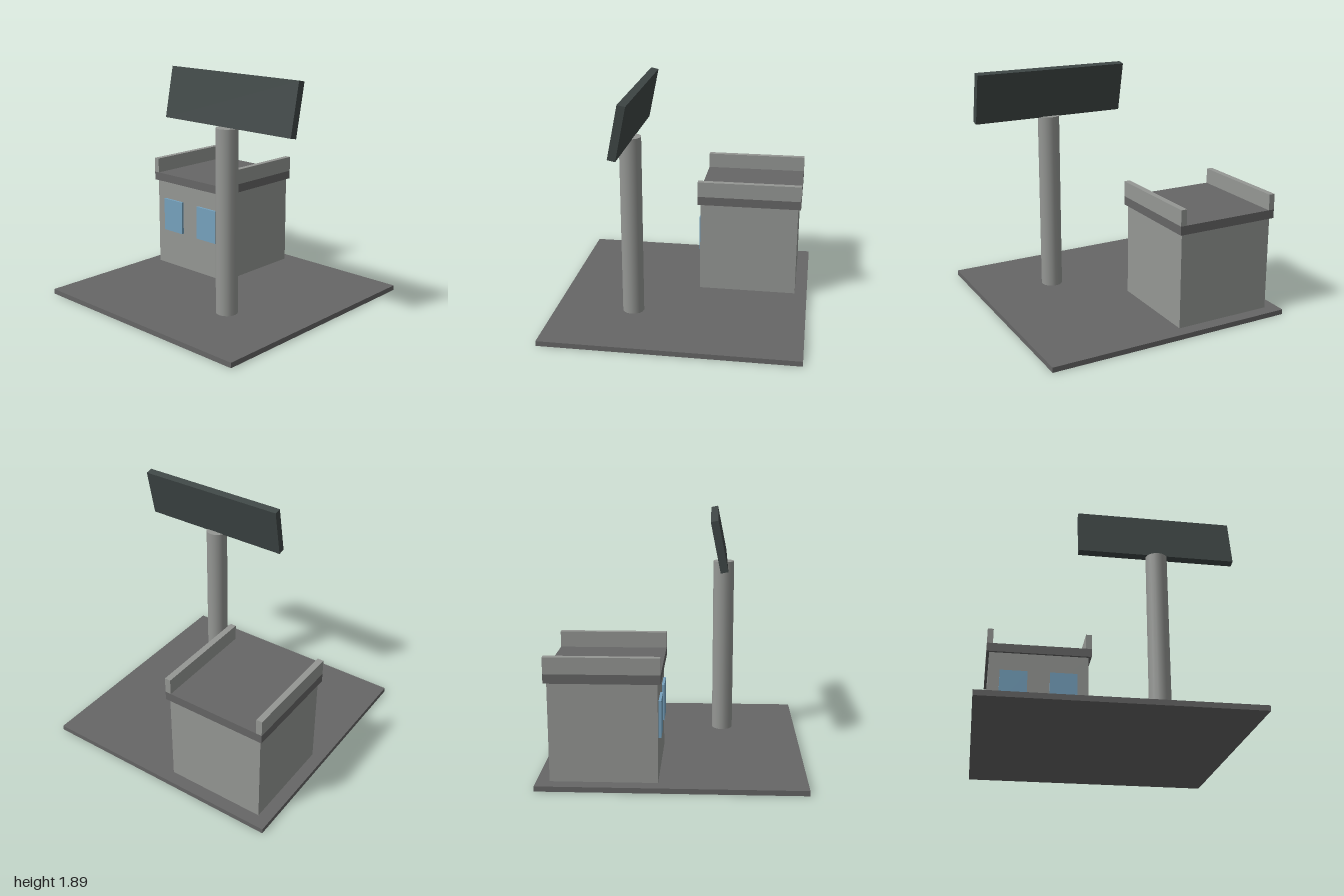
import * as THREE from 'three';

export function createModel() {
  const group = new THREE.Group();
  const material = (name, color) => {
    const m = new THREE.MeshStandardMaterial({ color });
    m.name = name;
    return m;
  };
  const asphalt = material('dark grey', 0x666666);
  const concrete = material('light grey', 0x959794);
  const glass = material('window blue', 0x76a2be);
  const panel = material('sign slate', 0x3f4746);

  const add = (name, geometry, mat, x, y, z) => {
    const mesh = new THREE.Mesh(geometry, mat);
    mesh.name = name;
    mesh.position.set(x, y, z);
    group.add(mesh);
    return mesh;
  };
  const box = (name, mat, w, h, d, x, y, z) =>
    add(name, new THREE.BoxGeometry(w, h, d), mat, x, y, z);

  // Ground slab
  box('ground', asphalt, 2, 0.04, 2, 0, 0.02, 0);

  // Hut with an overhanging flat roof
  const cx = -0.5, cz = -0.5;
  box('walls', concrete, 0.8, 0.755, 0.8, cx, 0.4175, cz);
  box('roof', asphalt, 0.845, 0.07, 0.845, cx, 0.83, cz);

  // Mirrored parapets and front windows
  for (const side of [-1, 1]) {
    const label = side > 0 ? 'left' : 'right';
    box(label + 'Parapet', concrete, 0.048, 0.125, 0.845, cx + side * 0.3985, 0.9275, cz);
    box(label + 'Window', glass, 0.22, 0.285, 0.02, cx + side * 0.2, 0.4975, -0.09);
  }

  // Sign post and its board, leaning back
  add('post', new THREE.CylinderGeometry(0.086, 0.086, 1.45, 16), concrete, 0.375, 0.765, 0.375);
  const board = box('signBoard', panel, 1.25, 0.4, 0.06, 0.375, 1.687, 0.335);
  board.rotation.x = -0.2;

  return group;
}
